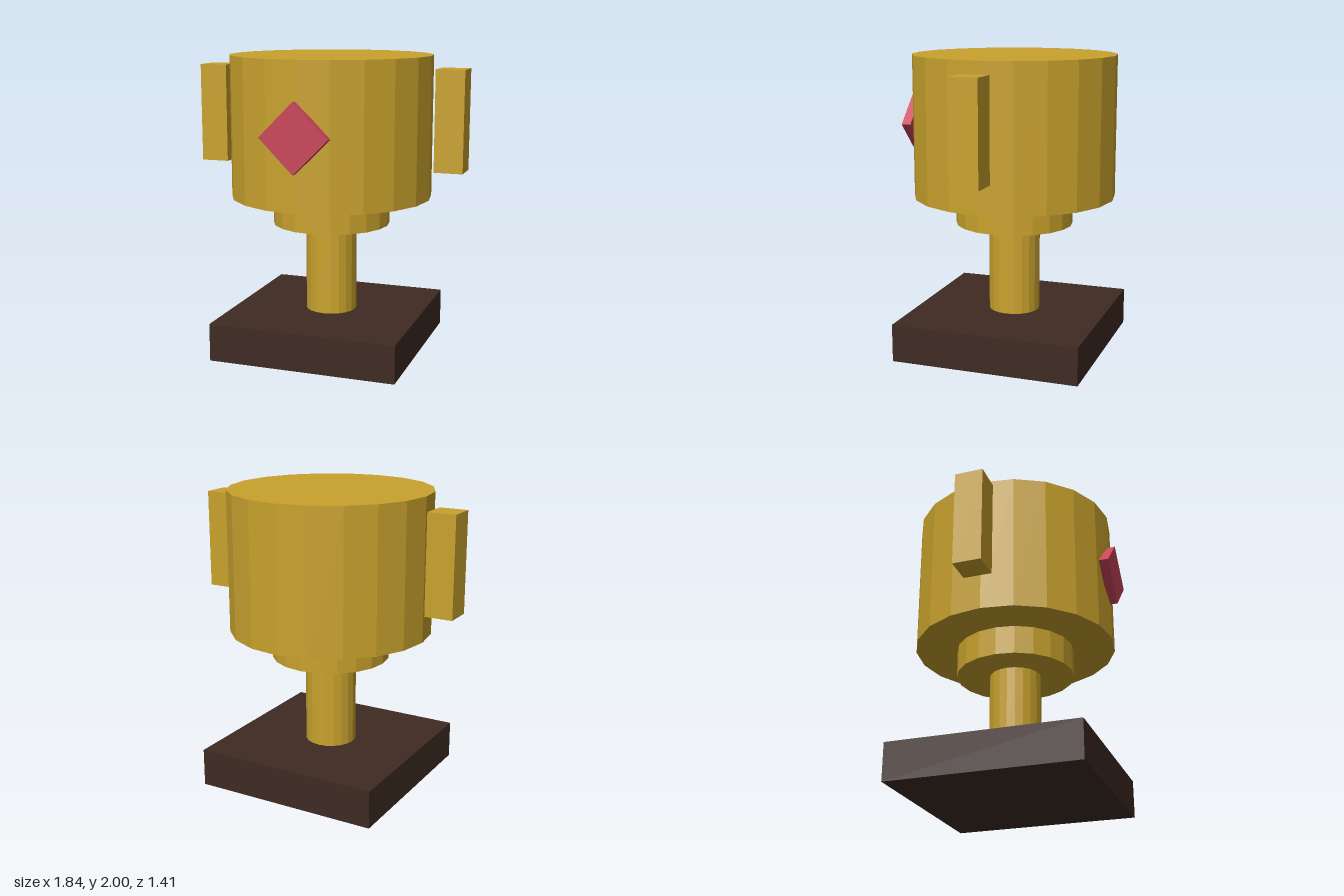
import * as THREE from 'three';

export function createModel() {
  const group = new THREE.Group();
  const material = (name, color) => {
    const m = new THREE.MeshStandardMaterial({ color, flatShading: true });
    m.name = name;
    return m;
  };
  const gold = material('gold', 0xc9a22d);
  const wood = material('dark wood', 0x3f2b23);
  const ruby = material('ruby', 0xc94559);
  const axisZ = -0.025; // centre line of the trophy

  const add = (name, geometry, mat, x, y, z) => {
    const mesh = new THREE.Mesh(geometry, mat);
    mesh.name = name;
    mesh.position.set(x, y, z);
    group.add(mesh);
    return mesh;
  };
  const drum = (name, r, y0, y1) =>
    add(name, new THREE.CylinderGeometry(r, r, y1 - y0, 20), gold, 0, (y0 + y1) / 2, axisZ);

  // Square plinth
  add('base', new THREE.BoxGeometry(1.27, 0.254, 1.27), wood, 0, 0.127, axisZ);

  // Turned body
  drum('stem', 0.173, 0.254, 0.86);
  drum('collar', 0.397, 0.86, 1.052);
  drum('cup', 0.68, 1.052, 2);

  // Free-standing side handles
  for (const [name, side] of [['leftHandle', 1], ['rightHandle', -1]]) {
    add(name, new THREE.BoxGeometry(0.19, 0.664, 0.19), gold, side * 0.825, 1.59, axisZ);
  }

  // Diamond-shaped gem on the front
  const gem = add('gem', new THREE.BoxGeometry(0.316, 0.316, 0.064), ruby, 0, 1.526, 0.671);
  gem.rotation.z = Math.PI / 4;

  return group;
}
